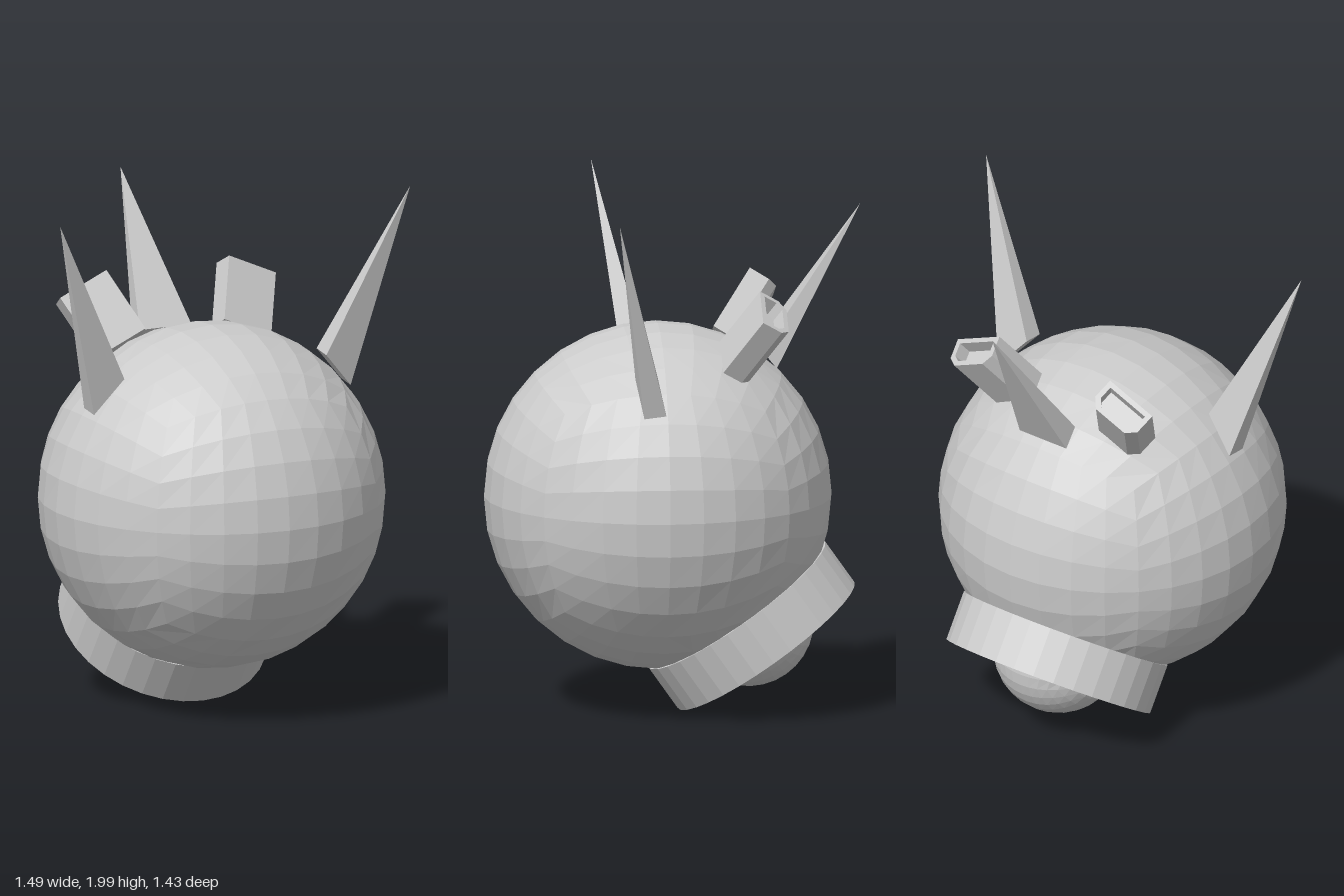
import * as THREE from 'three';

const material = new THREE.MeshStandardMaterial({ color: 0xcccccc, flatShading: true, side: THREE.DoubleSide });
const CENTER = new THREE.Vector3(0, 0.83, 0.055);
const AXIS = new THREE.Vector3(0, -0.818, -0.576).normalize(); // direction the rear port points

function part(name, geometry) {
  const mesh = new THREE.Mesh(geometry, material);
  mesh.name = name;
  return mesh;
}

// Sphere made from a subdivided cube with evenly spaced angles
function cubeSphere(radius, segments = 8) {
  const geometry = new THREE.BoxGeometry(2, 2, 2, segments, segments, segments);
  const pos = geometry.attributes.position;
  const v = new THREE.Vector3();
  const even = (c) => Math.tan(c * Math.PI / 4);
  for (let i = 0; i < pos.count; i++) {
    v.fromBufferAttribute(pos, i);
    v.set(even(v.x), even(v.y), even(v.z)).setLength(radius);
    pos.setXYZ(i, v.x, v.y, v.z);
  }
  geometry.computeVertexNormals();
  return geometry;
}

// Four-sided spike: base centre, half-edges u and v (u x v points to the tip), tip
function spike(center, u, v, tip) {
  const c = new THREE.Vector3(...center), a = new THREE.Vector3(...u), b = new THREE.Vector3(...v);
  const t = new THREE.Vector3(...tip);
  const corners = [[-1, -1], [1, -1], [1, 1], [-1, 1]].map(([i, j]) =>
    c.clone().addScaledVector(a, i).addScaledVector(b, j));
  const points = [];
  for (let i = 0; i < 4; i++) points.push(corners[i], corners[(i + 1) % 4], t);
  points.push(corners[0], corners[2], corners[1], corners[0], corners[3], corners[2]);
  const geometry = new THREE.BufferGeometry().setFromPoints(points);
  geometry.computeVertexNormals();
  return geometry;
}

// Rectangle outline with its two back corners chamfered
function outline(Target, inset) {
  const w = 0.108 - inset, y0 = inset, y1 = 0.12 - inset, k = 0.035 - inset * 0.5;
  return new Target([[-w, y0], [w, y0], [w, y1 - k], [w - k, y1], [-w + k, y1], [-w, y1 - k]]
    .map(([x, y]) => new THREE.Vector2(x, y)));
}

// Hollow exhaust pipe: solid foot plus an open rim
function exhaust() {
  const group = new THREE.Group();
  const length = 0.27, recess = 0.06;
  const foot = new THREE.ExtrudeGeometry(outline(THREE.Shape, 0), { depth: length - recess, bevelEnabled: false });
  const rimShape = outline(THREE.Shape, 0);
  rimShape.holes.push(outline(THREE.Path, 0.02));
  const rim = new THREE.ExtrudeGeometry(rimShape, { depth: recess, bevelEnabled: false });
  rim.translate(0, 0, length - recess);
  group.add(part('exhaustFoot', foot), part('exhaustRim', rim));

  const up = new THREE.Vector3(0.345, 0.768, -0.54).normalize();
  const back = up.clone().cross(new THREE.Vector3(0.92, -0.39, 0)).normalize();
  const across = back.clone().cross(up);
  group.quaternion.setFromRotationMatrix(new THREE.Matrix4().makeBasis(across, back, up));
  group.position.set(0.267, 1.405, -0.169);
  return group;
}

export function createModel() {
  const model = new THREE.Group();
  model.name = 'spikedBall';

  // Body
  const body = part('body', cubeSphere(0.663));
  body.position.copy(CENTER);
  model.add(body);

  // Rear port: thick ring with a ball inside
  const port = new THREE.Group();
  port.name = 'rearPort';
  port.position.copy(CENTER);
  port.quaternion.setFromUnitVectors(new THREE.Vector3(0, 1, 0), AXIS);
  const section = [[0.285, 0.522], [0.413, 0.522], [0.413, 0.716], [0.285, 0.716], [0.285, 0.522]]
    .map(([r, y]) => new THREE.Vector2(r, y));
  port.add(part('portRing', new THREE.LatheGeometry(section, 32)));
  const ball = part('portBall', cubeSphere(0.25));
  ball.position.y = 0.6;
  port.add(ball);
  model.add(port);

  // Mirrored side spikes and exhausts
  for (const [side, sx] of [['left', 1], ['right', -1]]) {
    const half = new THREE.Group();
    half.name = side + 'Side';
    half.scale.x = sx;
    half.add(part(side + 'Spike', spike(
      [0.488, 1.29, 0.117], [0, -0.005, 0.042], [0.058, -0.067, -0.013], [0.745, 2, 0.255]).scale(1, 1, 1)));
    const pipe = exhaust();
    pipe.name = side + 'Exhaust';
    half.add(pipe);
    model.add(half);
  }

  // Back spike
  model.add(part('backSpike', spike(
    [0, 1.365, -0.363], [-0.11, 0, 0], [0, -0.035, -0.028].map((c) => -c), [0, 1.945, -0.717])));

  return model;
}
